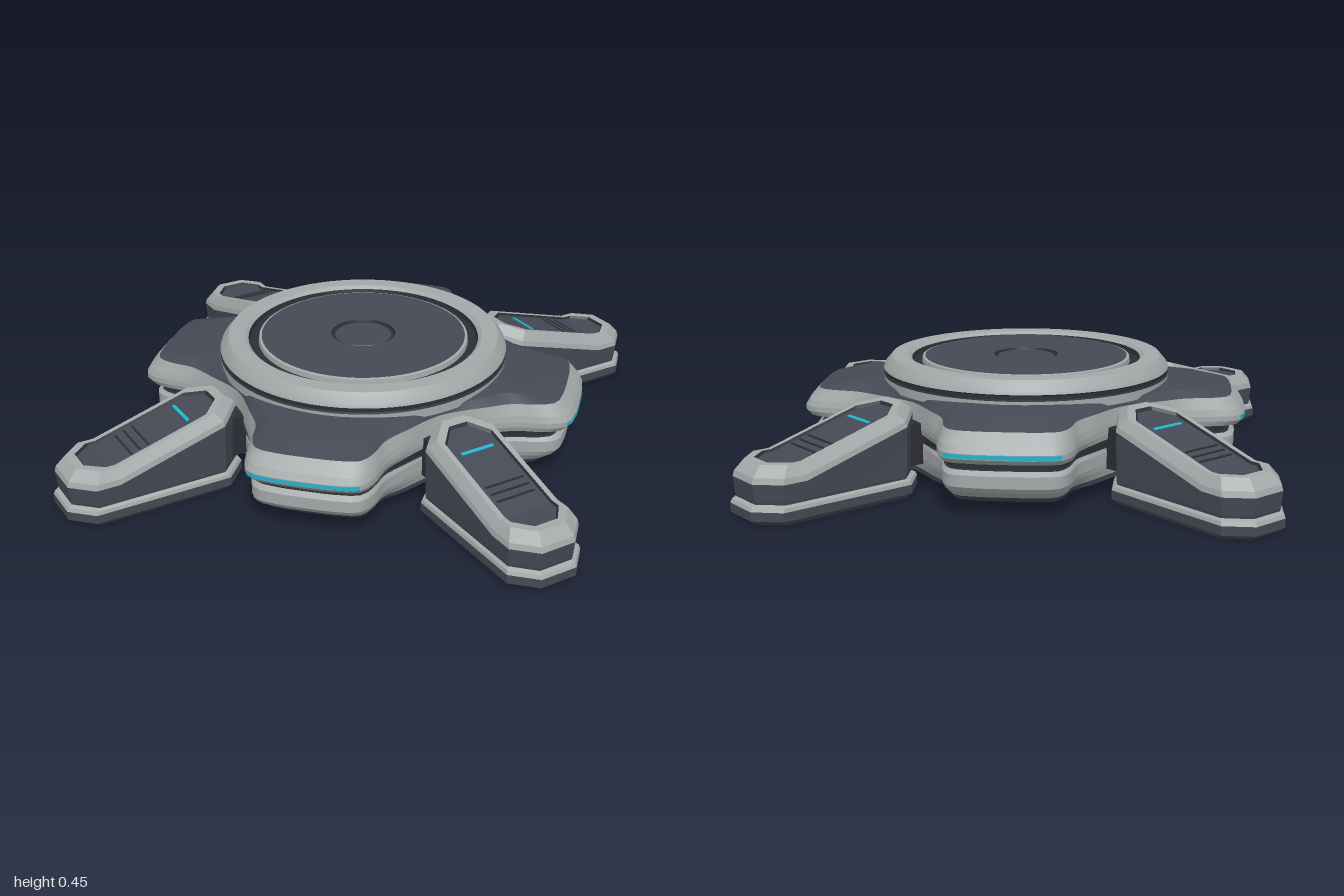
import * as THREE from 'three';
import { toCreasedNormals } from 'three/addons/utils/BufferGeometryUtils.js';

const material = (name, color) => {
  const m = new THREE.MeshStandardMaterial({ color });
  m.name = name;
  return m;
};

// Skin between two rings of points, lower ring first, both anticlockwise from above
function band(lower, upper, crease, keep = () => true) {
  const pos = [], n = lower.length;
  for (let i = 0; i < n; i++) {
    const j = (i + 1) % n;
    if (!keep(lower[i]) || !keep(lower[j])) continue;
    for (const p of [lower[i], lower[j], upper[j], lower[i], upper[j], upper[i]]) pos.push(p.x, p.y, p.z);
  }
  return finish(pos, crease);
}

function finish(pos, crease) {
  const g = new THREE.BufferGeometry();
  g.setAttribute('position', new THREE.Float32BufferAttribute(pos, 3));
  return toCreasedNormals(g, crease);
}

// Flat fill of a ring that is mirrored across x
function mirroredCap(ring, faceDown) {
  const pos = [], n = ring.length;
  for (let i = 0; i < n / 2 - 1; i++) {
    const q = [ring[i], ring[i + 1], ring[n - 2 - i], ring[n - 1 - i]];
    if (faceDown) q.reverse();
    for (const k of [0, 1, 2, 0, 2, 3]) pos.push(q[k].x, q[k].y, q[k].z);
  }
  return finish(pos, 0.2);
}

function add(parent, name, geometry, mat) {
  const mesh = new THREE.Mesh(geometry, mat);
  mesh.name = name;
  parent.add(mesh);
  return mesh;
}

// Four-lobed plan of the hull
function hullOutline() {
  const half = [[0, 0.89], [0.13, 0.885], [0.21, 0.865], [0.245, 0.8], [0.262, 0.68], [0.3, 0.59], [0.41, 0.41]];
  const lobe = [...half.slice(1, 6).reverse().map(([x, z]) => [-x, z]), ...half];
  const pts = [];
  for (let k = 0; k < 4; k++) {
    const c = Math.round(Math.cos(k * Math.PI / 2)), s = Math.round(Math.sin(k * Math.PI / 2));
    for (const [x, z] of lobe) pts.push(new THREE.Vector3(x * c + z * s, 0, -x * s + z * c));
  }
  return new THREE.CatmullRomCurve3(pts, true).getSpacedPoints(160).slice(0, -1);
}

function buildHull(root, mats) {
  const hull = new THREE.Group();
  hull.name = 'hull';
  root.add(hull);
  const outline = hullOutline();
  // Insets fade out towards the narrow diagonals
  const ring = (inset, y) => outline.map(p => {
    const r = Math.hypot(p.x, p.z);
    const f = 0.15 + 0.85 * THREE.MathUtils.smoothstep(r, 0.58, 0.85);
    const s = 1 - inset * f / r;
    return new THREE.Vector3(p.x * s, y, p.z * s);
  });
  const circle = (r, y) => outline.map(p => {
    const s = r / Math.hypot(p.x, p.z);
    return new THREE.Vector3(p.x * s, y, p.z * s);
  });
  const skin = (name, mat, rings) => {
    for (let i = 0; i < rings.length - 1; i++) add(hull, name, band(rings[i], rings[i + 1], 0.6), mat);
  };
  skin('hullUnderside', mats.slate, [circle(0.001, 0.05), circle(0.3, 0.05), ring(0.12, 0.05), ring(0.1, 0.07)]);
  skin('lowerBumper', mats.grey, [ring(0.1, 0.07), ring(0.055, 0.1), ring(0.04, 0.12), ring(0.04, 0.165), ring(0.06, 0.18)]);
  skin('hullGroove', mats.charcoal, [ring(0.06, 0.18), ring(0.08, 0.182), ring(0.08, 0.21), ring(0.02, 0.215)]);
  skin('upperBumper', mats.grey, [ring(0.02, 0.215), ring(0, 0.235), ring(0, 0.255), ring(0.015, 0.28), ring(0.055, 0.325)]);
  const deck = ring(0.055, 0.325), inner = circle(0.55, 0.365);
  const middle = deck.map((p, i) => p.clone().lerp(inner[i], 0.4).setY(0.352));
  skin('hullDeck', mats.slate, [deck, middle, inner]);
  // Light strip across each lobe tip
  const tip = p => Math.max(Math.abs(p.x), Math.abs(p.z)) > 0.8 && Math.min(Math.abs(p.x), Math.abs(p.z)) < 0.22;
  add(hull, 'lobeLights', band(ring(-0.003, 0.238), ring(-0.003, 0.254), 0.6, tip), mats.cyan);
}

function buildTurntable(root, mats) {
  const table = new THREE.Group();
  table.name = 'turntable';
  root.add(table);
  const lathe = (name, mat, profile) => {
    const g = new THREE.LatheGeometry(profile.map(([r, y]) => new THREE.Vector2(r, y)), 72);
    add(table, name, toCreasedNormals(g, 0.4), mat);
  };
  lathe('collar', mats.grey, [[0.58, 0.34], [0.58, 0.375]]);
  lathe('collarSeam', mats.charcoal, [[0.58, 0.375], [0.572, 0.38], [0.572, 0.395], [0.58, 0.4]]);
  lathe('outerRing', mats.grey, [[0.58, 0.4], [0.575, 0.415], [0.545, 0.45], [0.48, 0.45], [0.465, 0.438]]);
  lathe('recess', mats.charcoal, [[0.465, 0.438], [0.46, 0.42], [0.425, 0.42]]);
  lathe('plateRim', mats.grey, [[0.425, 0.42], [0.422, 0.44], [0.412, 0.443]]);
  lathe('plate', mats.slate, [[0.412, 0.443], [0.13, 0.443]]);
  lathe('hubGroove', mats.charcoal, [[0.13, 0.443], [0.127, 0.434], [0.115, 0.434]]);
  lathe('hub', mats.slate, [[0.115, 0.434], [0.112, 0.438], [0, 0.438]]);
  // Ring and disc under the hull
  lathe('bottomRing', mats.grey, [[0.255, 0.047], [0.262, 0.043], [0.303, 0.043], [0.31, 0.05]]);
  lathe('bottomDisc', mats.charcoal, [[0, 0.047], [0.255, 0.047]]);
}

function buildFoot(root, mats, index) {
  const foot = new THREE.Group();
  foot.name = 'foot' + (index + 1);
  foot.rotation.y = Math.PI / 4 + index * Math.PI / 2;
  root.add(foot);

  const kink = 1.13, slope = 0.29;
  const top = z => 0.212 + slope * Math.max(0, kink - z);
  // Half plan from outer end to inner end
  const half = [[0.075, 1.32], [0.16, 1.235], [0.16, kink], [0.16, 0.69], [0.062, 0.597]];
  const ring = (inset, height) => {
    const side = half.map(([x, z]) => {
      const zz = z === kink ? z : 0.96 + (z - 0.96) * (1 - inset * 4.4);
      return new THREE.Vector3(x * (1 - inset / 0.16), height(zz), zz);
    });
    return [...side, ...side.slice().reverse().map(p => new THREE.Vector3(-p.x, p.y, p.z))];
  };
  const flat = (inset, y) => ring(inset, () => y);
  const sloped = (inset, drop) => ring(inset, z => top(z) - drop);
  const skin = (name, mat, rings) => {
    for (let i = 0; i < rings.length - 1; i++) add(foot, name, band(rings[i], rings[i + 1], 0.2), mat);
  };
  add(foot, 'solePanel', mirroredCap(flat(0.045, 0.008), true), mats.charcoal);
  skin('sole', mats.slate, [flat(0.045, 0.008), flat(0.04, 0), flat(0.015, 0), flat(0, 0.018), flat(0, 0.052)]);
  skin('soleTrim', mats.grey, [flat(0, 0.052), flat(0.004, 0.066), flat(0.014, 0.074)]);
  skin('footWall', mats.slate, [flat(0.014, 0.074), flat(0.012, 0.085), sloped(0.008, 0.062)]);
  skin('footRim', mats.grey, [sloped(0.008, 0.062), sloped(0.012, 0.04), sloped(0.035, 0), sloped(0.056, 0)]);
  skin('panelEdge', mats.charcoal, [sloped(0.056, 0), sloped(0.061, 0.01)]);
  add(foot, 'footPanel', mirroredCap(sloped(0.061, 0.01), false), mats.slate);

  // Thin plates lying on the sloped panel
  const plate = (name, mat, width, length, z) => {
    const m = add(foot, name, new THREE.BoxGeometry(width, 0.006, length), mat);
    m.position.set(0, top(z) - 0.009, z);
    m.rotation.x = Math.atan(slope);
  };
  plate('footLight', mats.cyan, 0.14, 0.013, 0.815);
  for (const z of [0.985, 1.02, 1.055]) plate('panelSlot', mats.charcoal, 0.165, 0.007, z);

  // Joint to the hull
  const joint = add(foot, 'joint', new THREE.BoxGeometry(0.18, 0.16, 0.2), mats.charcoal);
  joint.position.set(0, 0.18, 0.59);
}

export function createModel() {
  const root = new THREE.Group();
  root.name = 'platform';
  const mats = {
    slate: material('slate', 0x454954),
    grey: material('lightGrey', 0xa3a8a8),
    charcoal: material('charcoal', 0x2c2e34),
    cyan: material('cyan', 0x22b4cc),
  };
  buildHull(root, mats);
  buildTurntable(root, mats);
  for (let i = 0; i < 4; i++) buildFoot(root, mats, i);
  return root;
}
